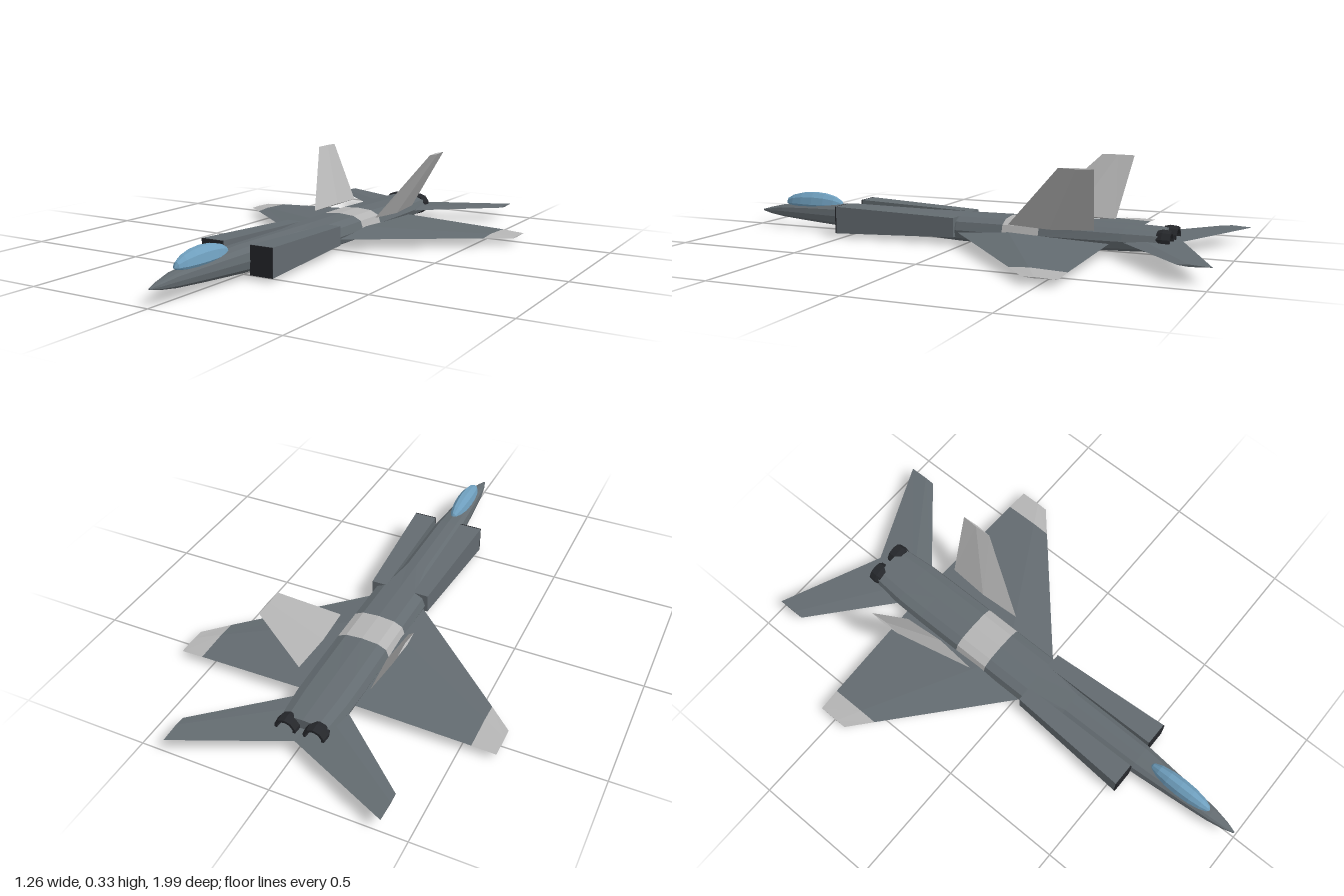
import * as THREE from 'three';

const mat = (color) => new THREE.MeshStandardMaterial({ color, flatShading: true });
const HULL = mat(0x636b70), LIGHT = mat(0xb4b4b4), DARK = mat(0x25272b), GLASS = mat(0x6f9fbe);

// Closed skin through equal-length rings of [x, y, z], with capped ends facing outwards
function loft(rings) {
  const n = rings[0].length, tris = [];
  for (let i = 0; i < rings.length - 1; i++) {
    for (let j = 0; j < n; j++) {
      const k = (j + 1) % n;
      const a = rings[i][j], b = rings[i][k], c = rings[i + 1][k], d = rings[i + 1][j];
      tris.push([a, b, c], [a, c, d]);
    }
  }
  const first = rings[0], last = rings[rings.length - 1];
  for (let j = 1; j < n - 1; j++) {
    tris.push([first[0], first[j + 1], first[j]], [last[0], last[j], last[j + 1]]);
  }
  // A negative enclosed volume means the skin is inside out
  let volume = 0;
  const v = (p) => new THREE.Vector3(...p);
  for (const [a, b, c] of tris) volume += v(a).dot(v(b).cross(v(c)));
  if (volume < 0) tris.forEach((t) => t.reverse());
  const geometry = new THREE.BufferGeometry();
  geometry.setAttribute('position', new THREE.Float32BufferAttribute(tris.flat(2), 3));
  geometry.computeVertexNormals();
  return geometry;
}

const mirror = (rings, side) => rings.map((r) => r.map(([x, y, z]) => [x * side, y, z]));

// Rounded-square body section: half width w, from bottom to top at depth z
function bodyRing([z, w, bottom, top]) {
  const ring = [], mid = (top + bottom) / 2, h = (top - bottom) / 2;
  const soft = (t) => Math.sign(t) * Math.pow(Math.abs(t), 0.75);
  for (let i = 0; i < 12; i++) {
    const a = (i / 12) * Math.PI * 2;
    ring.push([w * soft(Math.cos(a)), mid + h * soft(Math.sin(a)), z]);
  }
  return ring;
}

// Diamond aerofoil section; (tx, ty) is the half thickness direction
function foilRing(x, y, lead, trail, tx, ty, ridge = 0.35) {
  const z = lead + (trail - lead) * ridge;
  return [[x, y, lead], [x + tx, y + ty, z], [x, y, trail], [x - tx, y - ty, z]];
}

const rect = (x0, x1, y0, y1, z) => [[x0, y0, z], [x1, y0, z], [x1, y1, z], [x0, y1, z]];

export function createModel() {
  const model = new THREE.Group();
  model.name = 'jetAircraft';
  const add = (name, geometry, material, parent = model) => {
    const mesh = new THREE.Mesh(geometry, material);
    mesh.name = name;
    parent.add(mesh);
    return mesh;
  };

  // Fuselage stations: z, half width, bottom, top
  const front = [
    [0.99, 0.003, 0.057, 0.063], [0.95, 0.016, 0.048, 0.074], [0.88, 0.029, 0.038, 0.09],
    [0.75, 0.042, 0.028, 0.1], [0.54, 0.06, 0.014, 0.112], [0.2, 0.066, 0.005, 0.11],
    [0.03, 0.11, 0.002, 0.108], [-0.16, 0.11, 0, 0.11],
  ];
  const band = [[-0.16, 0.11, 0, 0.11], [-0.305, 0.11, 0.004, 0.11]];
  const rear = [
    [-0.305, 0.11, 0.004, 0.11], [-0.5, 0.11, 0.009, 0.106],
    [-0.62, 0.108, 0.013, 0.104], [-0.76, 0.096, 0.018, 0.1],
  ];
  add('frontFuselage', loft(front.map(bodyRing)), HULL);
  add('fuselageBand', loft(band.map(bodyRing)), LIGHT);
  add('rearFuselage', loft(rear.map(bodyRing)), HULL);

  // Teardrop canopy
  const canopyGeometry = new THREE.SphereGeometry(1, 10, 8).rotateX(Math.PI / 2);
  const pos = canopyGeometry.attributes.position;
  for (let i = 0; i < pos.count; i++) {
    const y = pos.getY(i), z = pos.getZ(i);
    pos.setXYZ(i, pos.getX(i) * 0.035, 0.1 + y * (y > 0 ? 0.052 : 0.02), 0.73 + z * 0.14);
  }
  add('canopy', canopyGeometry, GLASS);

  for (const side of [1, -1]) {
    const half = new THREE.Group();
    half.name = side > 0 ? 'leftSide' : 'rightSide';
    model.add(half);
    const skin = (name, rings, material) => add(name, loft(mirror(rings, side)), material, half);

    // Intake trunk with dark mouth
    skin('intake', [
      rect(0.058, 0.15, 0.013, 0.12, 0.535), rect(0.058, 0.12, 0.028, 0.103, 0.035),
    ], HULL);
    skin('intakeMouth', [
      rect(0.058, 0.15, 0.013, 0.12, 0.54), rect(0.058, 0.15, 0.013, 0.12, 0.535),
    ], DARK);

    // Main wing and its light tip
    const wingBreak = foilRing(0.54, 0.03, -0.362, -0.567, 0, 0.005);
    skin('wing', [foilRing(0.05, 0.049, 0.073, -0.576, 0, 0.017), wingBreak], HULL);
    skin('wingTip', [wingBreak, foilRing(0.63, 0.024, -0.442, -0.565, 0, 0.002)], LIGHT);

    // Swept tailplane
    skin('tailplane', [
      foilRing(0, 0.056, -0.535, -0.82, 0, 0.009),
      foilRing(0.405, 0.056, -0.885, -1, 0, 0.004),
    ], HULL);

    // Canted tail fin
    skin('tailFin', [
      foilRing(0.142, 0.098, -0.2, -0.53, 0.012, -0.006, 0.5),
      foilRing(0.266, 0.332, -0.435, -0.565, 0.004, -0.002, 0.5),
    ], LIGHT);

    // Engine nozzle: an open ring with a recessed back plate
    const nozzle = new THREE.LatheGeometry([
      [0.001, 0], [0.04, 0], [0.045, 0.02], [0.042, 0.05], [0.032, 0.05], [0.028, 0.015], [0.001, 0.015],
    ].map(([r, h]) => new THREE.Vector2(r, h)), 10);
    nozzle.rotateX(-Math.PI / 2).translate(side * 0.055, 0.06, -0.74);
    add('nozzle', nozzle, DARK, half);
  }
  return model;
}
